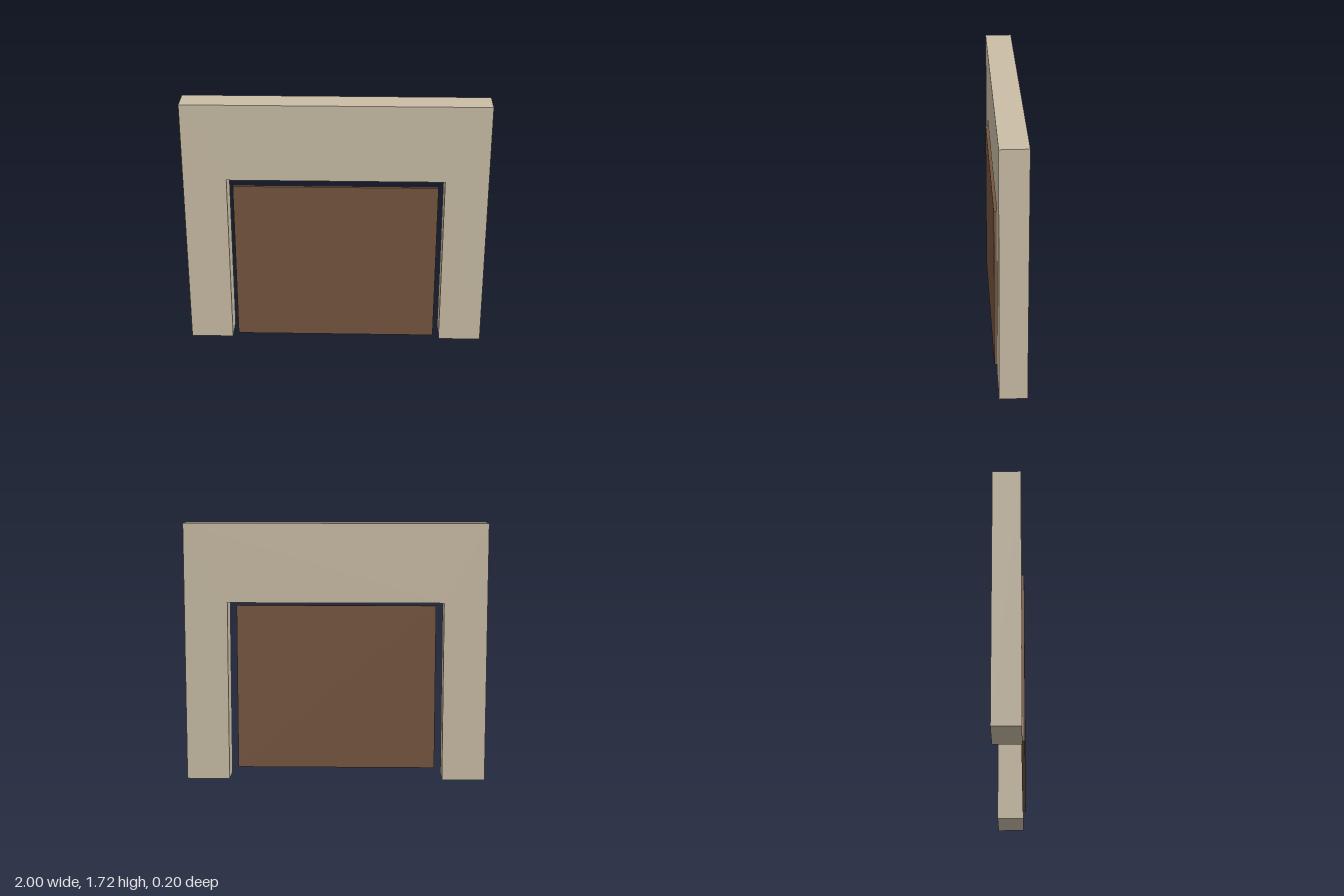
import * as THREE from 'three';

const WALL = { halfWidth: 1, height: 1.716, back: -0.098, front: 0.082 };
const OPENING = { halfWidth: 0.715, height: 1.194 };
const DOOR = { halfWidth: 0.672, bottom: 0.038, top: 1.157, back: 0.076, front: 0.098 };

export function createModel() {
  const model = new THREE.Group();
  model.name = 'doorway';

  // Wall: one upside-down U outline, extruded through its thickness
  const { halfWidth: w, height: h } = WALL;
  const { halfWidth: ow, height: oh } = OPENING;
  const outline = new THREE.Shape([
    [-w, 0], [-ow, 0], [-ow, oh], [ow, oh], [ow, 0], [w, 0], [w, h], [-w, h],
  ].map(([x, y]) => new THREE.Vector2(x, y)));
  const wallGeometry = new THREE.ExtrudeGeometry(outline, {
    depth: WALL.front - WALL.back,
    bevelEnabled: false,
  });
  wallGeometry.translate(0, 0, WALL.back);
  const wall = new THREE.Mesh(wallGeometry, new THREE.MeshStandardMaterial({ color: 0xcabda6 }));
  wall.name = 'wall';

  // Door: thin panel just proud of the wall, with a gap around it
  const door = new THREE.Mesh(
    new THREE.BoxGeometry(2 * DOOR.halfWidth, DOOR.top - DOOR.bottom, DOOR.front - DOOR.back),
    new THREE.MeshStandardMaterial({ color: 0x765640 }),
  );
  door.position.set(0, (DOOR.top + DOOR.bottom) / 2, (DOOR.front + DOOR.back) / 2);
  door.name = 'doorPanel';

  model.add(wall, door);
  return model;
}
